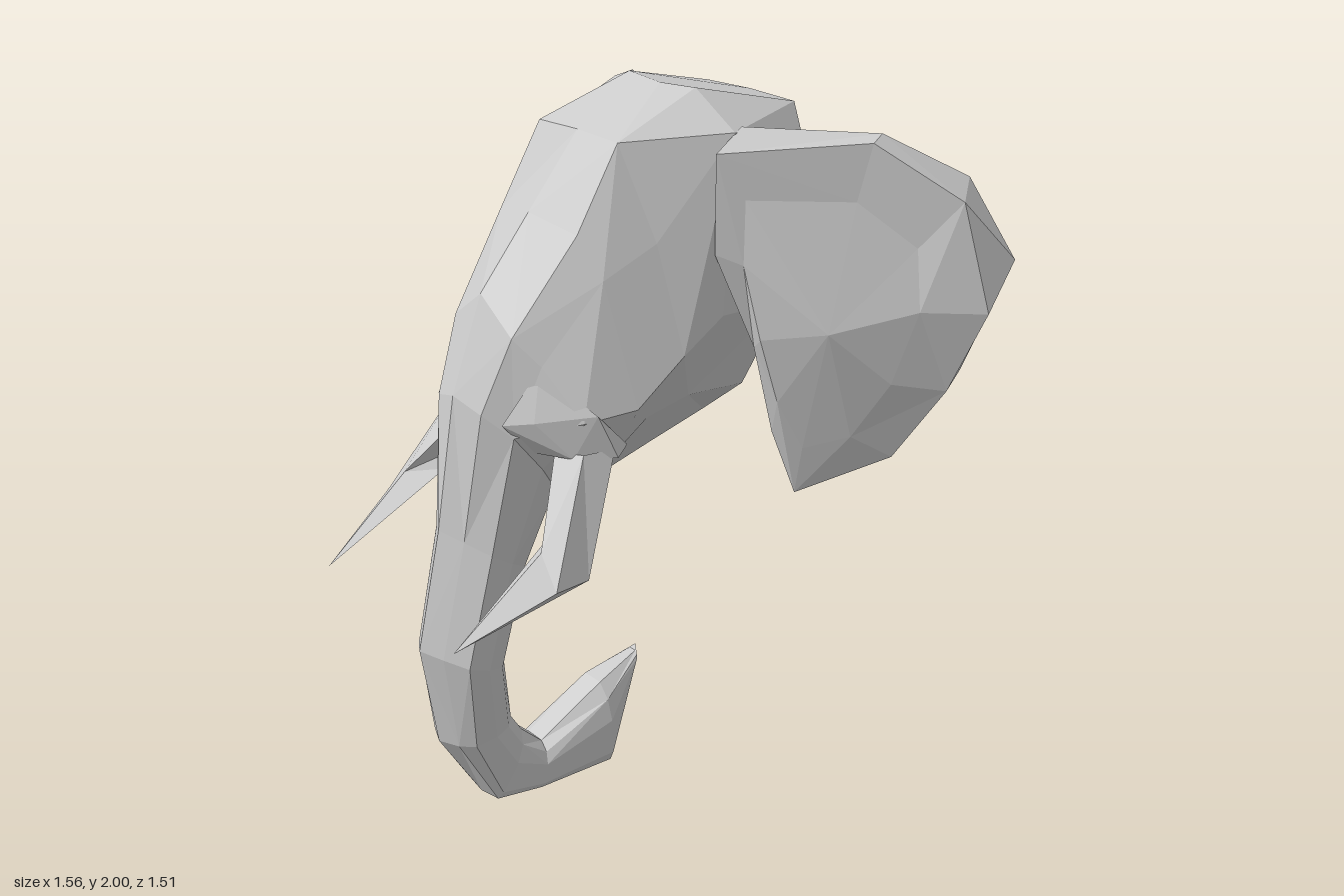
import * as THREE from 'three';
import { ConvexGeometry } from 'three/addons/geometries/ConvexGeometry.js';

const material = new THREE.MeshStandardMaterial({ color: 0xcccccc, flatShading: true });
const V = (p) => new THREE.Vector3(...p);
const mirrored = (pts, s) => pts.map(([x, y, z]) => [x * s, y, z]);

// Skin a row of closed rings, fanning both ends to a point (the ring's centre by default)
function loft(rings, startPoint, endPoint) {
  const R = rings.map((ring) => ring.map(V));
  const n = R[0].length;
  const tris = [];
  for (let i = 0; i < R.length - 1; i++) {
    for (let j = 0; j < n; j++) {
      const k = (j + 1) % n;
      const a = R[i][j], b = R[i][k], c = R[i + 1][k], d = R[i + 1][j];
      // alternate the diagonal for a facetted look
      if ((i + j) % 2) tris.push([a, b, c], [a, c, d]);
      else tris.push([a, b, d], [b, c, d]);
    }
  }
  const centre = (ring) => ring.reduce((s, p) => s.add(p), new THREE.Vector3()).divideScalar(n);
  const s = startPoint ? V(startPoint) : centre(R[0]);
  const e = endPoint ? V(endPoint) : centre(R[R.length - 1]);
  for (let j = 0; j < n; j++) {
    const k = (j + 1) % n;
    tris.push([s, R[0][k], R[0][j]], [e, R[R.length - 1][j], R[R.length - 1][k]]);
  }
  // turn all faces outward, judged by the signed volume
  let volume = 0;
  for (const [a, b, c] of tris) volume += a.dot(b.clone().cross(c));
  if (volume < 0) tris.forEach((t) => t.reverse());
  const geometry = new THREE.BufferGeometry().setFromPoints(tris.flat());
  geometry.computeVertexNormals();
  return geometry;
}

// Half outline (top centre first) to a full symmetric ring
const fullRing = (half) => [...half, ...mirrored(half.slice(1), -1).reverse()];

function headAndTrunk() {
  // head sections from the flat back to the trunk root
  const head = [
    [[0, 1.935, -0.475], [0.18, 1.93, -0.475], [0.325, 1.74, -0.42], [0.32, 1.43, -0.337], [0.23, 1.18, -0.27], [0.1, 1.07, -0.24]],
    [[0.03, 2, -0.13], [0.14, 2, -0.16], [0.3, 1.91, -0.16], [0.34, 1.44, -0.1], [0.25, 1.2, -0.06], [0.12, 1.03, -0.04]],
    [[0, 1.905, 0.12], [0.17, 1.9, 0.12], [0.27, 1.65, 0.07], [0.35, 1.36, 0.04], [0.25, 1.17, 0.08], [0.13, 0.98, 0.16]],
    [[0, 1.71, 0.28], [0.17, 1.68, 0.25], [0.24, 1.57, 0.22], [0.335, 1.24, 0.18], [0.25, 1.1, 0.18], [0.12, 1.0, 0.2]],
    [[0, 1.52, 0.435], [0.13, 1.43, 0.43], [0.19, 1.36, 0.38], [0.29, 1.22, 0.32], [0.21, 1.1, 0.27], [0.1, 1.01, 0.24]],
    [[0, 1.26, 0.53], [0.1, 1.23, 0.51], [0.16, 1.17, 0.45], [0.16, 1.06, 0.36], [0.13, 0.98, 0.3], [0.07, 0.93, 0.27]],
  ];
  // trunk sections: front z, y, back z, y, half width, flatness of the front
  const trunk = [
    [0.59, 0.89, 0.35, 0.74, 0.135, 0],
    [0.665, 0.55, 0.425, 0.46, 0.125, 0],
    [0.615, 0.25, 0.4, 0.27, 0.1, 0.3],
    [0.48, 0.035, 0.36, 0.21, 0.085, 1],
    [0.32, 0.012, 0.29, 0.145, 0.08, 1],
    [0.07, 0, 0.08, 0.265, 0.09, 0.8],
    [-0.05, 0.26, -0.07, 0.31, 0.03, 0],
  ].map(([fz, fy, bz, by, w, f]) =>
    [[0, 0], [0.5 + 0.4 * f, 0.15 - 0.1 * f], [1, 0.33 - 0.17 * f], [1, 0.6], [0.8, 0.84], [0.4, 1]].map(([x, t]) =>
      [x * w, fy + (by - fy) * t, fz + (bz - fz) * t]));
  return loft([...head, ...trunk].map(fullRing), null, [0, 0.325, -0.08]);
}

function ear(s) {
  // each ring runs from the top root out to the tip, down to the lobe and back
  const back = [
    [0.29, 1.92, -0.19], [0.52, 1.905, -0.47], [0.63, 1.78, -0.69], [0.75, 1.57, -0.755], [0.69, 1.27, -0.64],
    [0.59, 1.07, -0.53], [0.42, 0.97, -0.34], [0.38, 1.12, -0.28], [0.35, 1.34, -0.25], [0.31, 1.58, -0.22],
  ];
  const rim = [
    [0.32, 1.87, -0.08], [0.54, 1.89, -0.42], [0.7, 1.74, -0.6], [0.778, 1.45, -0.635], [0.71, 1.23, -0.57],
    [0.61, 1.03, -0.48], [0.435, 0.915, -0.29], [0.4, 1.1, -0.23], [0.385, 1.35, -0.17], [0.335, 1.61, -0.07],
  ];
  const dish = [
    [0.37, 1.75, -0.14], [0.53, 1.74, -0.38], [0.64, 1.62, -0.5], [0.68, 1.46, -0.48], [0.64, 1.26, -0.43],
    [0.56, 1.1, -0.37], [0.47, 1.06, -0.28], [0.44, 1.2, -0.21], [0.42, 1.38, -0.16], [0.38, 1.58, -0.13],
  ];
  return loft([back, rim, dish].map((r) => mirrored(r, s)), [0.51 * s, 1.42, -0.48], [0.56 * s, 1.41, -0.27]);
}

function tusk(s) {
  const rings = [
    [[0.315, 1.14, 0.24], [0.3, 1.14, 0.33], [0.2, 1.12, 0.35], [0.19, 1.04, 0.22]],
    [[0.4, 0.84, 0.39], [0.41, 0.84, 0.5], [0.33, 0.92, 0.49], [0.26, 0.93, 0.4]],
  ].map((r) => mirrored(r, s));
  return loft(rings, null, [0.315 * s, 0.71, 0.755]);
}

// Cheek swelling that carries the tusk
function tuskSocket(s) {
  const pts = [
    [0.15, 1.21, 0.48], [0.16, 1.12, 0.4], [0.31, 1.24, 0.29], [0.33, 1.12, 0.24],
    [0.21, 1.22, 0.42], [0.27, 1.12, 0.34], [0.15, 1.1, 0.3], [0.18, 1.35, 0.38], [0.29, 1.13, 0.18],
  ];
  return new ConvexGeometry(mirrored(pts, s).map(V));
}

export function createModel() {
  const model = new THREE.Group();
  model.name = 'elephantHead';
  const add = (name, geometry) => {
    const mesh = new THREE.Mesh(geometry, material);
    mesh.name = name;
    model.add(mesh);
  };
  add('headAndTrunk', headAndTrunk());
  for (const [side, s] of [['left', 1], ['right', -1]]) {
    add(side + 'Ear', ear(s));
    add(side + 'Tusk', tusk(s));
    add(side + 'TuskSocket', tuskSocket(s));
  }
  return model;
}
